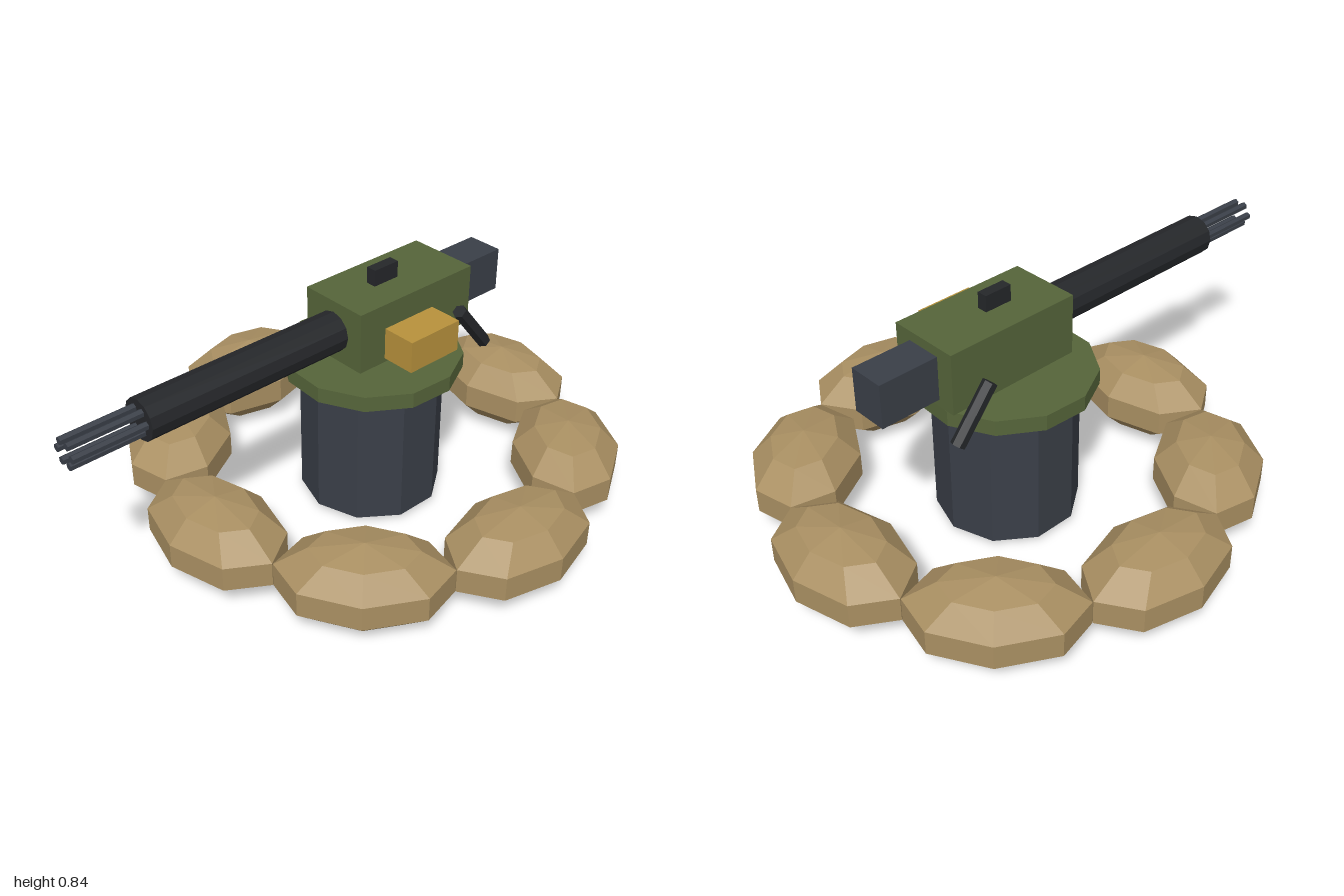
import * as THREE from 'three';

const mat = (color) => new THREE.MeshStandardMaterial({ color, flatShading: true });

export function createModel() {
  const model = new THREE.Group();
  const green = mat(0x56653a), steel = mat(0x3a3f48), black = mat(0x25272a);
  const brass = mat(0xb8923c), sand = mat(0xa98f62);
  const CZ = -0.147; // centre of the emplacement
  const GUN_Y = 0.678;

  const add = (name, geometry, material, x, y, z, parent = model) => {
    const mesh = new THREE.Mesh(geometry, material);
    mesh.name = name;
    mesh.position.set(x, y, z);
    parent.add(mesh);
    return mesh;
  };
  const box = (w, h, d) => new THREE.BoxGeometry(w, h, d);

  // Ring of eight squashed sandbags, long side along the ring
  const sandbags = new THREE.Group();
  sandbags.name = 'sandbagRing';
  model.add(sandbags);
  const bag = new THREE.SphereGeometry(1, 8, 5).scale(0.289, 0.138, 0.189);
  for (let i = 0; i < 8; i++) {
    const a = (i * Math.PI) / 4;
    const mesh = add('sandbag', bag, sand, Math.sin(a) * 0.666, 0.14, CZ + Math.cos(a) * 0.666, sandbags);
    mesh.rotation.y = a;
  }

  // Pedestal and turntable
  add('pedestal', new THREE.CylinderGeometry(0.24, 0.24, 0.475, 10), steel, 0, 0.2575, CZ);
  add('turntable', new THREE.CylinderGeometry(0.298, 0.298, 0.053, 12), green, 0, 0.5185, CZ)
    .rotation.y = Math.PI / 15;

  // Receiver with rear block, sight and ammunition box
  add('receiver', box(0.25, 0.208, 0.488), green, 0, 0.68, -0.22);
  add('rearBlock', box(0.125, 0.15, 0.25), steel, 0, 0.676, -0.548);
  add('sight', box(0.036, 0.07, 0.1), black, 0, 0.805, -0.185);
  add('ammoBox', box(0.125, 0.108, 0.208), brass, 0.181, 0.644, -0.185);

  // Barrel shroud and six barrels
  add('barrelShroud', new THREE.CylinderGeometry(0.068, 0.068, 0.757, 12).rotateX(Math.PI / 2),
    black, 0, GUN_Y, 0.3785);
  const barrel = new THREE.CylinderGeometry(0.013, 0.013, 0.3, 6).rotateX(Math.PI / 2);
  for (let i = 0; i < 6; i++) {
    const a = (i * Math.PI) / 3;
    add('barrel', barrel, steel, Math.cos(a) * 0.038, GUN_Y + Math.sin(a) * 0.038, 0.85);
  }

  // Slanted grips on both sides at the back
  const grip = new THREE.CylinderGeometry(0.024, 0.024, 0.21, 6);
  for (const side of [-1, 1]) {
    add('grip', grip, black, side * 0.176, 0.592, -0.43).rotation.x = 0.68;
  }
  return model;
}
